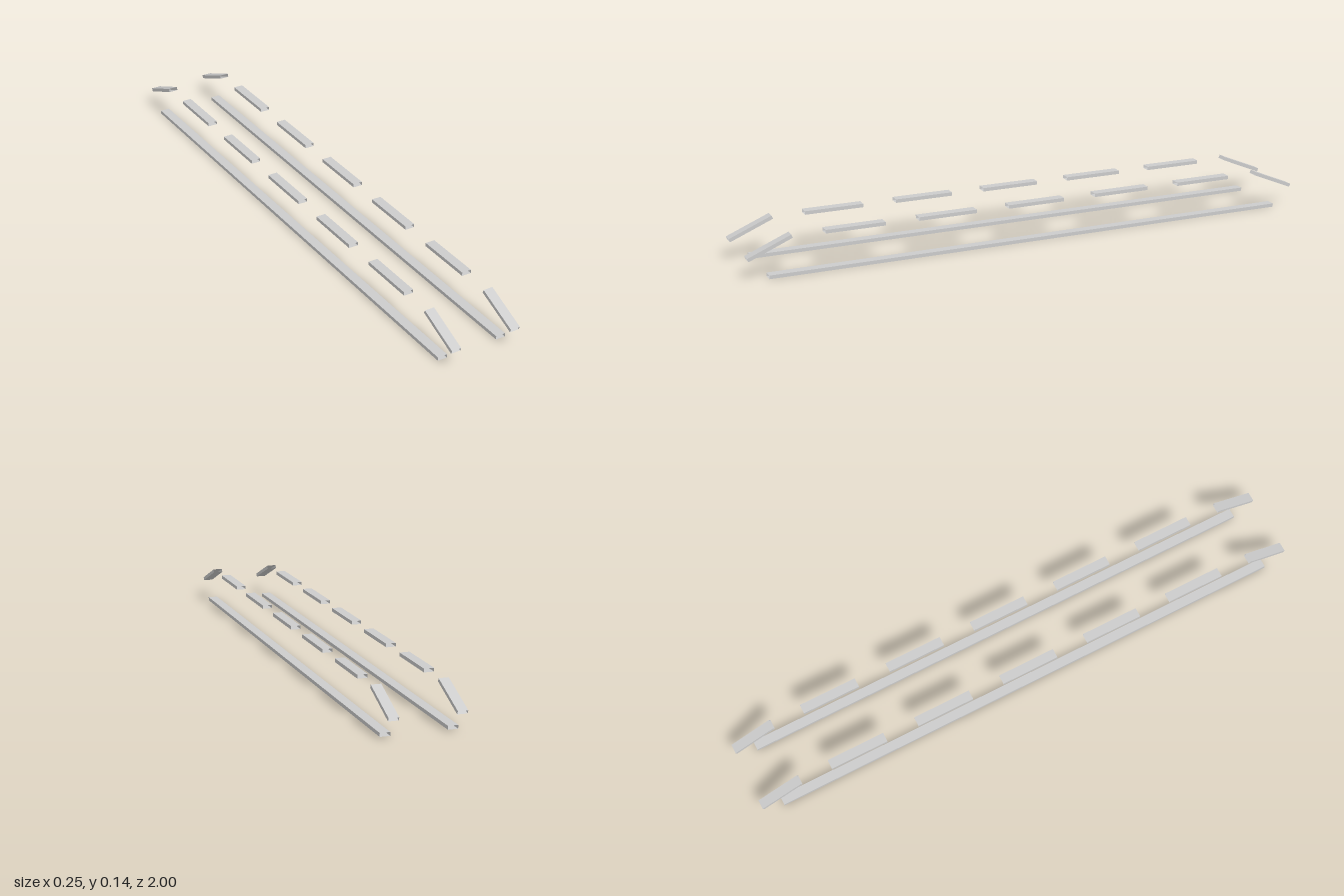
import * as THREE from 'three';

const WIDTH = 0.033, THICK = 0.012, RAIL_X = 0.108;

// Flat rectangular sleeve along z, open at both ends
function sleeve(name, length, material) {
  const geometry = new THREE.BoxGeometry(WIDTH, THICK, length);
  geometry.setIndex(Array.from(geometry.index.array).slice(0, 24)); // drop the two end faces
  geometry.clearGroups();
  const mesh = new THREE.Mesh(geometry, material);
  mesh.name = name;
  return mesh;
}

export function createModel() {
  const group = new THREE.Group();
  group.name = 'railStrips';
  const material = new THREE.MeshStandardMaterial({ color: 0xcccccc, side: THREE.DoubleSide });

  for (const [label, sx] of [['left', 1], ['right', -1]]) {
    const side = new THREE.Group();
    side.name = label + 'Side';
    side.position.x = sx * RAIL_X;

    // Long strip on the ground
    const base = sleeve('baseStrip', 1.86, material);
    base.position.y = THICK / 2;
    side.add(base);

    // Row of short raised strips
    for (let i = -2; i <= 2; i++) {
      const strip = sleeve('raisedStrip', 0.203, material);
      strip.position.set(0, 0.132, i * 0.319);
      side.add(strip);
    }

    // Sloping strips at both ends
    const tilt = Math.atan2(0.061, 0.147);
    for (const sz of [1, -1]) {
      const end = sleeve(sz > 0 ? 'frontSlope' : 'backSlope', Math.hypot(0.061, 0.147), material);
      end.position.set(0, 0.102, sz * 0.924);
      end.rotation.x = sz * tilt;
      side.add(end);
    }
    group.add(side);
  }
  return group;
}
